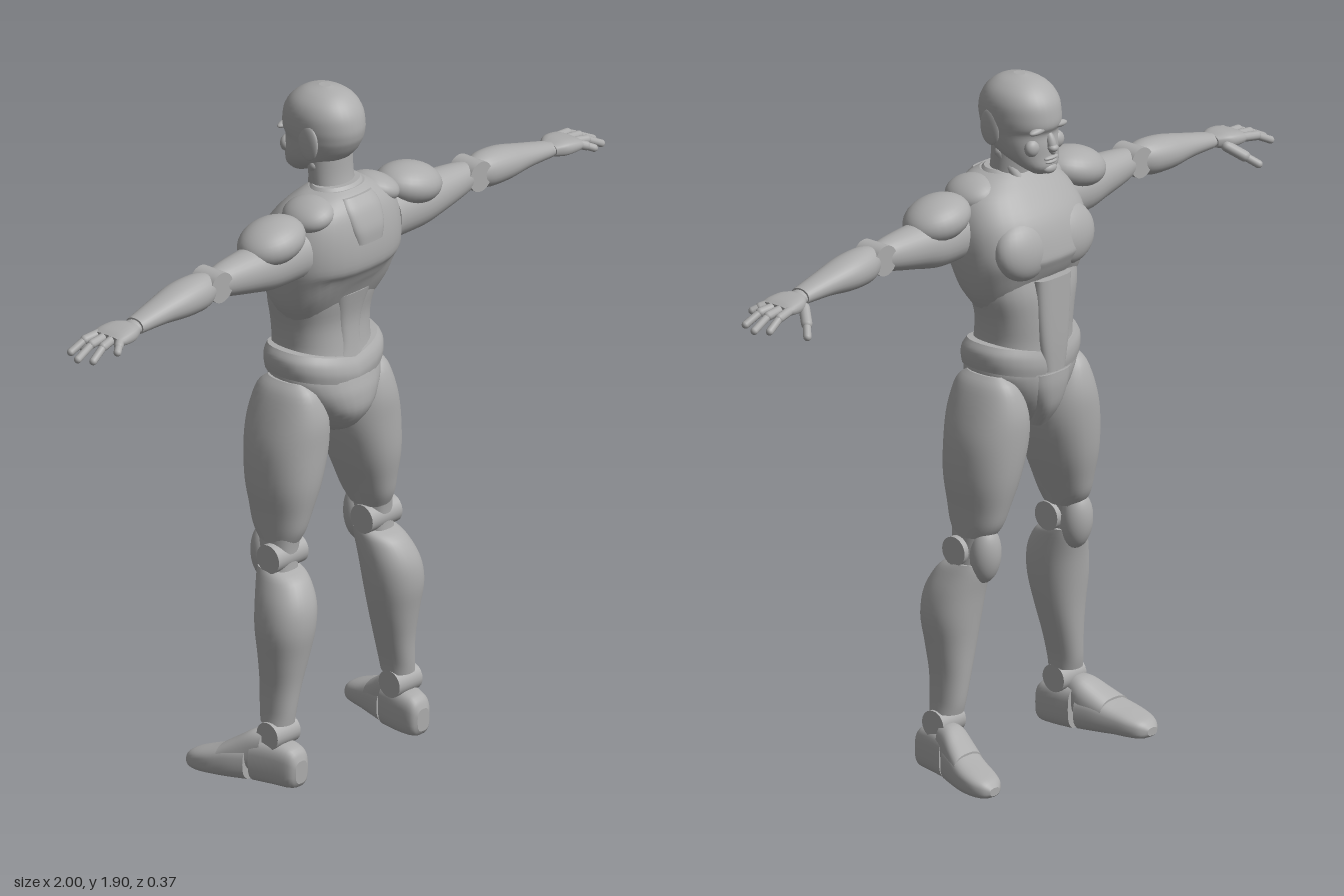
import * as THREE from 'three';

const bodyGrey = new THREE.MeshStandardMaterial({ color: 0xacacac });
bodyGrey.name = 'bodyGrey';

// Catmull-Rom blend of four rows
function blend(rows, i, t) {
  const at = k => rows[Math.min(rows.length - 1, Math.max(0, k))];
  const [a, b, c, d] = [at(i - 1), at(i), at(i + 1), at(i + 2)];
  return b.map((_, k) => 0.5 * (2 * b[k] + (c[k] - a[k]) * t
    + (2 * a[k] - 5 * b[k] + 4 * c[k] - d[k]) * t * t
    + (3 * b[k] - a[k] - 3 * c[k] + d[k]) * t * t * t));
}

// Skin over rounded sections; each row is [s, a0, a1, b0, b1] and place maps (s, a, b) to a point
function loft(rows, place, power = 2.3, n = 32, sub = 4) {
  const rings = [];
  for (let i = 0; i < rows.length - 1; i++)
    for (let j = 0; j < sub; j++) rings.push(blend(rows, i, j / sub));
  rings.push(rows[rows.length - 1]);
  const pos = [], idx = [];
  const round = v => Math.sign(v) * Math.abs(v) ** (2 / power);
  const addRing = ([s, a0, a1, b0, b1]) => {
    for (let k = 0; k < n; k++) {
      const th = k / n * Math.PI * 2;
      pos.push(...place(s, (a0 + a1) / 2 + (a1 - a0) / 2 * round(Math.cos(th)),
        (b0 + b1) / 2 + (b1 - b0) / 2 * round(Math.sin(th))));
    }
  };
  rings.forEach(addRing);
  for (let i = 0; i < rings.length - 1; i++)
    for (let k = 0; k < n; k++) {
      const p = i * n + k, q = i * n + (k + 1) % n;
      idx.push(p, q, p + n, q, q + n, p + n);
    }
  // end caps
  [rings[0], rings[rings.length - 1]].forEach((r, e) => {
    const base = pos.length / 3;
    addRing(r);
    const c = [0, 0, 0];
    for (let k = 0; k < n; k++) for (let m = 0; m < 3; m++) c[m] += pos[(base + k) * 3 + m] / n;
    pos.push(...c);
    for (let k = 0; k < n; k++) {
      const p = base + k, q = base + (k + 1) % n;
      idx.push(...(e ? [p, q, base + n] : [q, p, base + n]));
    }
  });
  // make faces point outward
  let vol = 0;
  const A = new THREE.Vector3(), B = new THREE.Vector3(), C = new THREE.Vector3();
  for (let i = 0; i < idx.length; i += 3) {
    A.fromArray(pos, idx[i] * 3); B.fromArray(pos, idx[i + 1] * 3); C.fromArray(pos, idx[i + 2] * 3);
    vol += A.dot(B.cross(C));
  }
  if (vol < 0) idx.reverse();
  const g = new THREE.BufferGeometry();
  g.setAttribute('position', new THREE.Float32BufferAttribute(pos, 3));
  g.setIndex(idx);
  g.computeVertexNormals();
  return g;
}

export function createModel() {
  const root = new THREE.Group();
  root.name = 'mannequin';
  const add = (name, geo) => {
    const m = new THREE.Mesh(geo, bodyGrey);
    m.name = name;
    root.add(m);
    return m;
  };
  const ball = (name, p, r, rz = 0, rx = 0) => {
    const m = add(name, new THREE.SphereGeometry(1, 28, 18));
    m.position.set(...p); m.scale.set(...r); m.rotation.set(rx, 0, rz);
    return m;
  };
  const rod = (name, p, q, r) => {
    const a = new THREE.Vector3(...p), b = new THREE.Vector3(...q), d = b.clone().sub(a);
    const m = add(name, new THREE.CapsuleGeometry(r, d.length(), 5, 12));
    m.position.copy(a).add(b).multiplyScalar(0.5);
    m.quaternion.setFromUnitVectors(new THREE.Vector3(0, 1, 0), d.normalize());
  };
  // upright symmetric loft from [y, halfWidth, zFront, zBack]
  const upright = (name, rows, power, place = (s, a, b) => [a, s, b]) =>
    add(name, loft(rows.map(([y, w, f, b]) => [y, -w, w, f, b]), place, power));

  // Head and neck
  upright('head', [[1.645, .03, -.092, -.04], [1.665, .055, -.104, 0], [1.695, .076, -.102, .065],
    [1.725, .085, -.101, .1], [1.755, .09, -.098, .119], [1.775, .093, -.108, .126], [1.8, .095, -.108, .128],
    [1.835, .092, -.1, .12], [1.865, .077, -.078, .1], [1.887, .048, -.045, .07], [1.898, .012, -.005, .03]], 2.1);
  ball('nose', [0, 1.73, -.1], [.013, .032, .014], 0, .3);
  ball('noseTip', [0, 1.718, -.107], [.015, .011, .014]);
  ball('upperLip', [0, 1.69, -.1], [.026, .006, .01]);
  ball('lowerLip', [0, 1.679, -.099], [.022, .006, .01]);
  ball('chin', [0, 1.659, -.095], [.024, .014, .014]);
  upright('neck', [[1.72, .068, -.03, .085], [1.66, .067, -.018, .087], [1.61, .068, -.01, .098],
    [1.56, .085, -.01, .12]], 2);
  upright('neckCollar', [[1.59, .1, -.03, .135], [1.625, .085, -.012, .118], [1.64, .074, 0, .105]], 2);

  // Chest shell, its lower rim rising at front and back
  upright('chest', [[1.275, .145, -.085, .11], [1.32, .175, -.117, .15], [1.38, .195, -.132, .17],
    [1.45, .205, -.128, .182], [1.52, .198, -.105, .178], [1.58, .17, -.06, .162],
    [1.615, .12, -.025, .138], [1.632, .08, -.005, .115]], 2.4,
  (s, a, b) => [a, s + .06 * Math.min(1, ((b - .02) / .12) ** 2) * THREE.MathUtils.smoothstep(1.45 - s, 0, .13), b]);
  upright('upperBackPlate', [[1.5, .05, .13, .186], [1.54, .06, .12, .184], [1.59, .065, .1, .165],
    [1.62, .055, .09, .14]], 3.5);

  // Abdomen and pelvis
  upright('abdomen', [[1.06, .13, -.108, .12], [1.12, .147, -.115, .122], [1.18, .135, -.115, .113],
    [1.25, .141, -.117, .108], [1.32, .16, -.115, .12], [1.39, .165, -.1, .13]], 2.3);
  upright('bellyPlate', [[1.1, .04, -.125, -.06], [1.17, .052, -.127, -.06], [1.25, .06, -.127, -.06],
    [1.36, .066, -.126, -.06]], 3.5);
  upright('spinePlate', [[1.11, .07, .06, .13], [1.18, .04, .06, .118], [1.26, .045, .06, .114],
    [1.34, .07, .06, .13]], 3);
  upright('pelvis', [[.925, .022, -.03, .06], [.95, .055, -.066, .11], [1, .1, -.1, .147],
    [1.05, .138, -.116, .15], [1.09, .158, -.12, .14], [1.115, .158, -.118, .132]], 2.2);
  upright('hipBelt', [[1.1, .168, -.117, .135], [1.125, .173, -.121, .138], [1.15, .171, -.12, .133],
    [1.172, .158, -.115, .122]], 2.3, (s, a, b) => [a, s + .2 * (Math.abs(a) - .1), b]);
  upright('groinPlate', [[.935, .025, -.075, 0], [.99, .045, -.112, 0], [1.05, .07, -.126, 0],
    [1.095, .08, -.127, 0]], 2.6);

  for (const m of [1, -1]) {
    const side = m > 0 ? 'right' : 'left';
    const nm = s => side + s;
    const P = (x, y, z) => [m * x, y, z];
    const leg = (s, a, b) => [m * a, s, b];   // rows by y
    const arm = (s, a, b) => [m * s, a, b];   // rows by x
    const shoe = (s, a, b) => [m * a, Math.max(0, b), s]; // rows by z

    // Face sides
    ball(nm('Ear'), P(.088, 1.765, .035), [.011, .05, .034]);
    ball(nm('Brow'), P(.037, 1.772, -.09), [.034, .01, .013], -m * .1);
    ball(nm('Cheek'), P(.047, 1.722, -.076), [.024, .024, .018]);
    rod(nm('NeckCord'), P(.058, 1.69, .03), P(.02, 1.6, -.012), .014);

    // Shoulder and arm
    ball(nm('ChestPad'), P(.085, 1.45, -.075), [.095, .085, .052], 0, .2);
    ball(nm('Trapezius'), P(.125, 1.585, .07), [.065, .04, .075], -m * .35);
    ball(nm('ShoulderPad'), P(.262, 1.55, .066), [.1, .058, .083], -m * .2);
    add(nm('UpperArm'), loft([[.17, 1.42, 1.56, .005, .13], [.28, 1.42, 1.557, 0, .13],
      [.36, 1.435, 1.553, .01, .125], [.44, 1.452, 1.546, .022, .115], [.485, 1.464, 1.538, .034, .106]], arm, 2.1, 28));
    const elbow = add(nm('Elbow'), new THREE.CylinderGeometry(.042, .042, .078, 24));
    elbow.position.set(m * .497, 1.503, .07);
    elbow.rotation.x = Math.PI / 2;
    add(nm('Forearm'), loft([[.51, 1.462, 1.538, .034, .106], [.55, 1.448, 1.545, .018, .118],
      [.62, 1.447, 1.539, .012, .12], [.7, 1.454, 1.52, .024, .11], [.79, 1.454, 1.498, .037, .1]], arm, 2.1, 28));
    ball(nm('Wrist'), P(.795, 1.474, .068), [.025, .02, .028]);
    add(nm('Palm'), loft([[.8, 1.456, 1.49, .037, .098], [.83, 1.45, 1.495, .015, .113],
      [.87, 1.453, 1.49, .009, .118], [.892, 1.459, 1.482, .015, .113]], arm, 2.8, 24));
    // Fingers: base z, tip x, tip z
    for (const [z, tx, tz] of [[.024, .972, .01], [.05, .988, .05], [.076, .975, .093], [.1, .915, .124]]) {
      const mx = .88 + (tx - .88) * .5, mz = (z + tz) / 2;
      rod(nm('FingerBase'), P(.88, 1.471, z), P(mx, 1.465, mz), .0125);
      rod(nm('FingerTip'), P(mx, 1.465, mz), P(tx, 1.465 - (tx - mx) * .5, tz), .0105);
    }
    rod(nm('ThumbBase'), P(.82, 1.462, .026), P(.85, 1.435, -.01), .015);
    rod(nm('ThumbTip'), P(.85, 1.435, -.01), P(.876, 1.412, -.036), .011);

    // Thigh and knee
    add(nm('Thigh'), loft([[1.1, .115, .165, -.055, .065], [1.07, .08, .19, -.09, .1], [1, .045, .218, -.112, .12],
      [.92, .038, .238, -.113, .12], [.82, .065, .24, -.103, .115], [.74, .096, .229, -.085, .1],
      [.69, .115, .224, -.07, .088], [.655, .128, .22, -.045, .07]], leg, 2.2));
    const knee = add(nm('KneeJoint'), new THREE.CylinderGeometry(.04, .04, .114, 28));
    knee.position.set(m * .18, .618, .03);
    knee.rotation.z = Math.PI / 2;
    add(nm('KneeCore'), loft([[.68, .135, .218, -.045, .075], [.62, .138, .224, -.035, .068],
      [.56, .14, .232, -.025, .07]], leg, 2.6));
    ball(nm('Kneecap'), P(.178, .608, -.028), [.046, .08, .042], 0, -.08);

    // Shin, ankle and shoe
    add(nm('Shin'), loft([[.585, .128, .236, -.035, .065], [.56, .124, .25, -.035, .108],
      [.5, .123, .274, -.024, .14], [.43, .13, .285, -.015, .145], [.35, .147, .276, -.006, .131],
      [.27, .169, .267, 0, .117], [.2, .186, .268, .006, .11], [.165, .19, .272, .013, .106]], leg, 2.2));
    const ankle = add(nm('Ankle'), new THREE.CylinderGeometry(.038, .038, .088, 24));
    ankle.position.set(m * .234, .135, .066);
    ankle.rotation.z = Math.PI / 2;
    add(nm('Heel'), loft([[.148, .212, .256, .012, .075], [.132, .196, .272, -.004, .105],
      [.08, .19, .287, -.006, .118], [.02, .196, .304, -.006, .118]], shoe, 3));
    add(nm('Instep'), loft([[.045, .212, .29, .04, .14], [.01, .208, .305, .02, .138],
      [-.03, .217, .325, .01, .113], [-.065, .228, .34, .01, .09]], shoe, 2.5));
    add(nm('Toe'), loft([[.008, .203, .312, -.006, .1], [-.04, .217, .334, -.006, .093],
      [-.09, .235, .35, -.006, .074], [-.135, .25, .352, -.006, .058], [-.165, .266, .341, -.004, .045],
      [-.181, .288, .324, .006, .028]], shoe, 2.7));
  }
  return root;
}
